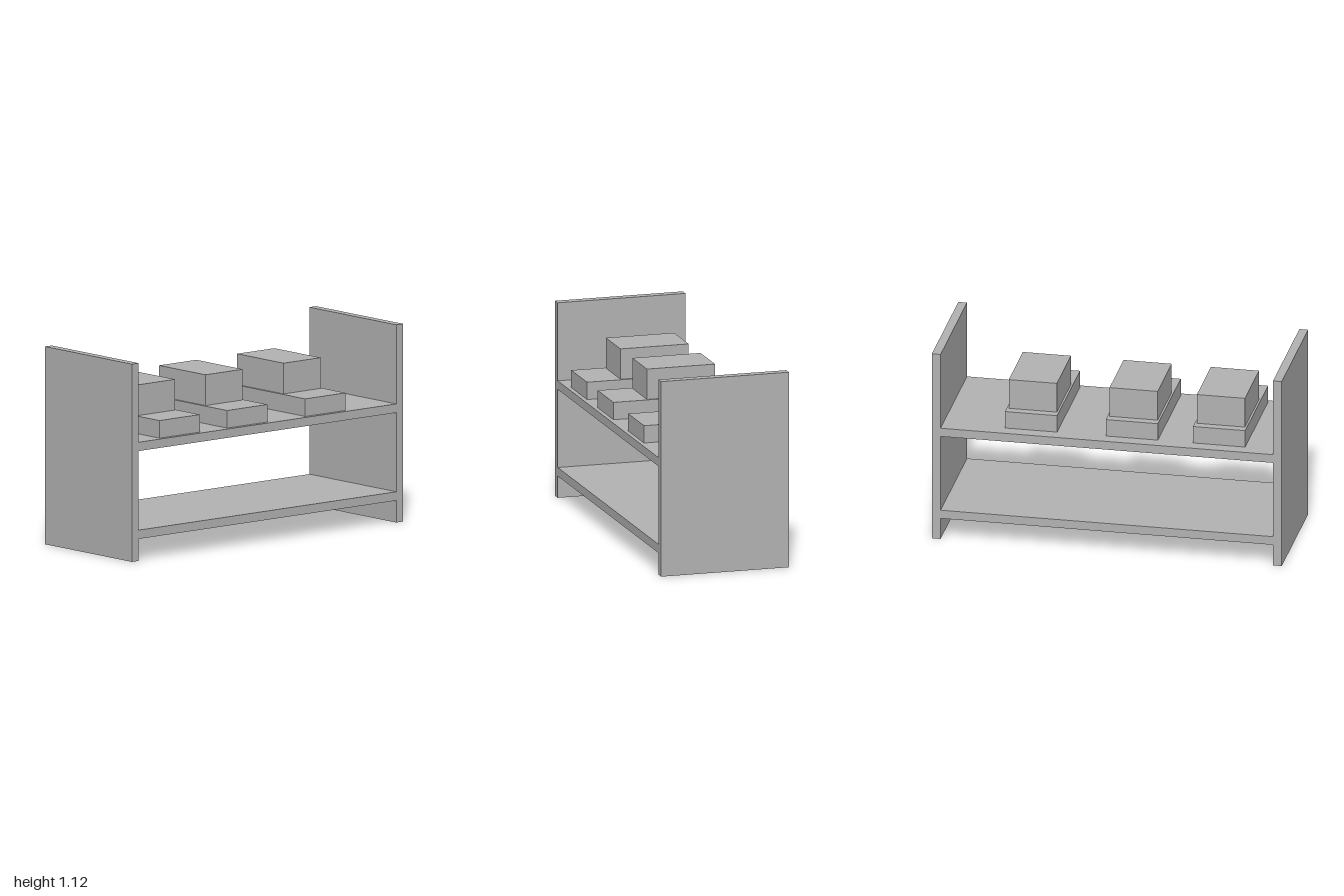
import * as THREE from 'three';

export function createModel() {
  const model = new THREE.Group();
  const grey = new THREE.MeshStandardMaterial({ color: 0xb2b2b2 });
  grey.name = 'plain grey';

  // Box given by its lower and upper limits on each axis
  function box(name, [x0, x1], [y0, y1], [z0, z1], parent = model) {
    const mesh = new THREE.Mesh(new THREE.BoxGeometry(x1 - x0, y1 - y0, z1 - z0), grey);
    mesh.name = name;
    mesh.position.set((x0 + x1) / 2, (y0 + y1) / 2, (z0 + z1) / 2);
    parent.add(mesh);
  }

  const depth = [-0.375, 0.375];

  // Upright end panels
  box('rightPanel', [-1, -0.95], [0, 1.125], depth);
  box('leftPanel', [0.95, 1], [0, 1.125], depth);

  // Two shelves between the panels
  box('lowerShelf', [-0.95, 0.95], [0.125, 0.175], depth);
  box('upperShelf', [-0.95, 0.95], [0.625, 0.675], depth);

  // Three stepped units on the upper shelf: a low base with a block set back on it
  [-0.627, -0.128, 0.448].forEach((x, i) => {
    const unit = new THREE.Group();
    unit.name = `shelfUnit${i + 1}`;
    box('unitBase', [x - 0.149, x + 0.149], [0.675, 0.775], [-0.3, 0.35], unit);
    box('unitBlock', [x - 0.1375, x + 0.1375], [0.775, 0.95], [-0.25, 0.15], unit);
    model.add(unit);
  });

  return model;
}
